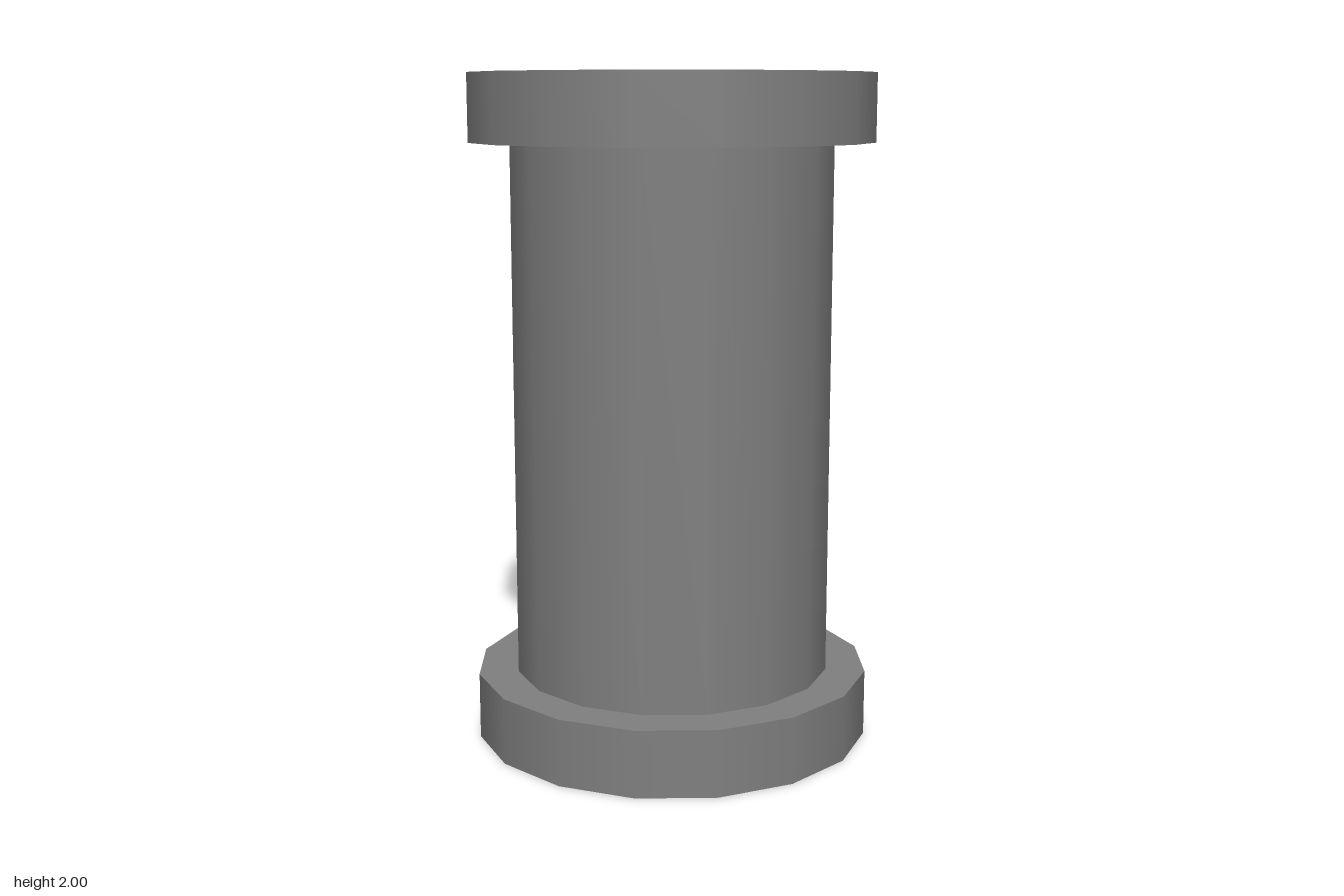
import * as THREE from 'three';
import { mergeGeometries } from 'three/addons/utils/BufferGeometryUtils.js';

const SIDES = 16;
const BORE = 0.45;
const BODY = 0.48;
const FLANGE = 0.6;

// Revolves each step of a [radius, height] profile on its own: smooth around, sharp at the rims
function revolve(name, profile, material) {
  const bands = [];
  for (let i = 1; i < profile.length; i++) {
    const ends = [profile[i - 1], profile[i]].map(([r, y]) => new THREE.Vector2(r, y));
    bands.push(new THREE.LatheGeometry(ends, SIDES));
  }
  const mesh = new THREE.Mesh(mergeGeometries(bands), material);
  mesh.name = name;
  return mesh;
}

// Collar: underside out, outer wall up, top back in
function flange(name, y0, y1, material) {
  return revolve(name, [[BORE, y0], [FLANGE, y0], [FLANGE, y1], [BORE, y1]], material);
}

export function createModel() {
  const material = new THREE.MeshStandardMaterial({ color: 0x808080 });
  const group = new THREE.Group();
  group.name = 'flangedPipe';

  // Straight pipe between two wider end collars, with one bore right through
  group.add(
    revolve('pipeBody', [[BODY, 0.2], [BODY, 1.8]], material),
    revolve('bore', [[BORE, 2], [BORE, 0]], material),
    flange('bottomFlange', 0, 0.2, material),
    flange('topFlange', 1.8, 2, material)
  );
  return group;
}
